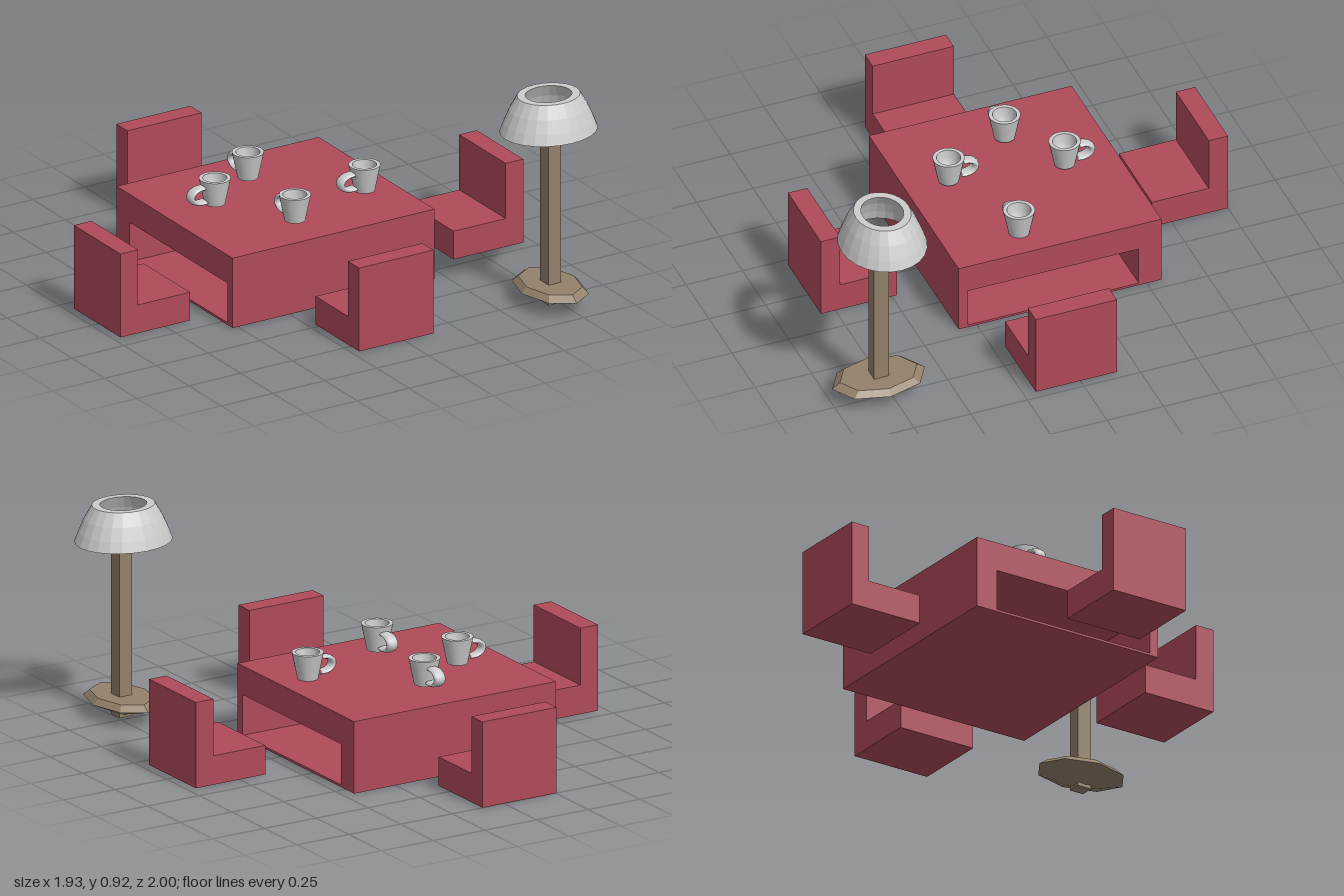
import * as THREE from 'three';
import { toCreasedNormals } from 'three/addons/utils/BufferGeometryUtils.js';

const red = new THREE.MeshStandardMaterial({ color: 0xb04a5a });
const wood = new THREE.MeshStandardMaterial({ color: 0x93816a, flatShading: true });
const grey = new THREE.MeshStandardMaterial({ color: 0xcccccc });
const greyFlat = new THREE.MeshStandardMaterial({ color: 0xcccccc, flatShading: true });

const mesh = (name, geometry, material) => {
  const m = new THREE.Mesh(geometry, material);
  m.name = name;
  return m;
};

// Box given by its min and max along each axis
function box(name, [x0, x1], [y0, y1], [z0, z1], material) {
  const g = new THREE.BoxGeometry(x1 - x0, y1 - y0, z1 - z0);
  g.translate((x0 + x1) / 2, (y0 + y1) / 2, (z0 + z1) / 2);
  return mesh(name, g, material);
}

const lathe = (points, segments) =>
  new THREE.LatheGeometry(points.map(([x, y]) => new THREE.Vector2(x, y)), segments);

const polygon = (points, Type = THREE.Shape) =>
  new Type(points.map(([x, y]) => new THREE.Vector2(x, y)));

// Table: solid block with a rectangular tunnel running along x
function createTable() {
  const s = polygon([[-0.33, 0], [0.565, 0], [0.565, 0.31], [-0.33, 0.31]]);
  s.holes.push(polygon([[-0.29, 0.01], [-0.29, 0.185], [0.465, 0.185], [0.465, 0.01]], THREE.Path));
  const g = new THREE.ExtrudeGeometry(s, { depth: 0.975, bevelEnabled: false });
  g.rotateY(Math.PI / 2); // shape x becomes -z, depth becomes +x
  g.translate(-0.525, 0, 0);
  return mesh('table', g, red);
}

// Chair: L-shaped side profile, backrest towards -x before turning
function createChair(name, x, z, turn) {
  const s = polygon([[-0.168, 0], [0.168, 0], [0.168, 0.125], [-0.083, 0.125], [-0.083, 0.37], [-0.168, 0.37]]);
  const g = new THREE.ExtrudeGeometry(s, { depth: 0.358, bevelEnabled: false });
  g.translate(0, 0, -0.179);
  const chair = mesh(name, g, red);
  chair.position.set(x, 0, z);
  chair.rotation.y = turn;
  return chair;
}

// Cup: tapered body with a rounded hollow and a broad looped handle on -x
function createCup(x, y, z, turn) {
  const cup = new THREE.Group();
  cup.name = 'cup';
  const body = lathe([
    [0, 0], [0.043, 0], [0.066, 0.113], [0.05, 0.113], [0.046, 0.08],
    [0.038, 0.05], [0.025, 0.032], [0, 0.025],
  ], 24);
  cup.add(mesh('cupBody', toCreasedNormals(body, 0.6), grey));
  const handle = new THREE.TorusGeometry(0.036, 0.011, 10, 24, 3.75);
  handle.rotateZ(1.4);
  handle.scale(1.35, 0.9, 2.4);
  handle.translate(-0.068, 0.05, 0);
  cup.add(mesh('cupHandle', handle, grey));
  cup.position.set(x, y, z);
  cup.rotation.y = turn;
  return cup;
}

// Floor lamp: faceted oval base, square pole, hollow oval shade
function createLamp() {
  const lamp = new THREE.Group();
  lamp.name = 'floorLamp';
  const base = lathe([[0, 0.005], [1, 0.07], [0.83, 0.095], [0, 0.095]], 8);
  base.scale(0.137, 1, 0.205);
  base.translate(0.718, 0, 0.793);
  lamp.add(mesh('lampBase', base, wood));
  lamp.add(box('lampPole', [0.69, 0.75], [0.005, 0.75], [0.76, 0.825], wood));
  const shade = lathe([
    [0.165, 0.765], [0.21, 0.765], [0.193, 0.81], [0.168, 0.865], [0.135, 0.92],
    [0.1, 0.92], [0.132, 0.865], [0.153, 0.81], [0.165, 0.765],
  ], 24);
  shade.scale(1, 1, 0.86);
  shade.translate(0.72, 0, 0.777);
  lamp.add(mesh('lampShade', shade, greyFlat));
  return lamp;
}

export function createModel() {
  const model = new THREE.Group();
  model.name = 'diningSet';
  const q = Math.PI / 2;
  model.add(
    createTable(),
    createChair('chairRight', -0.798, -0.01, 0),
    createChair('chairLeft', 0.793, 0.018, Math.PI),
    createChair('chairFront', -0.038, 0.645, q),
    createChair('chairBack', -0.075, -0.832, -q),
    createCup(-0.295, 0.323, -0.175, 0),
    createCup(0.313, 0.312, 0.008, 0),
    createCup(-0.11, 0.323, 0.147, -q),
    createCup(-0.035, 0.323, -0.335, -q),
    createLamp(),
  );
  return model;
}
